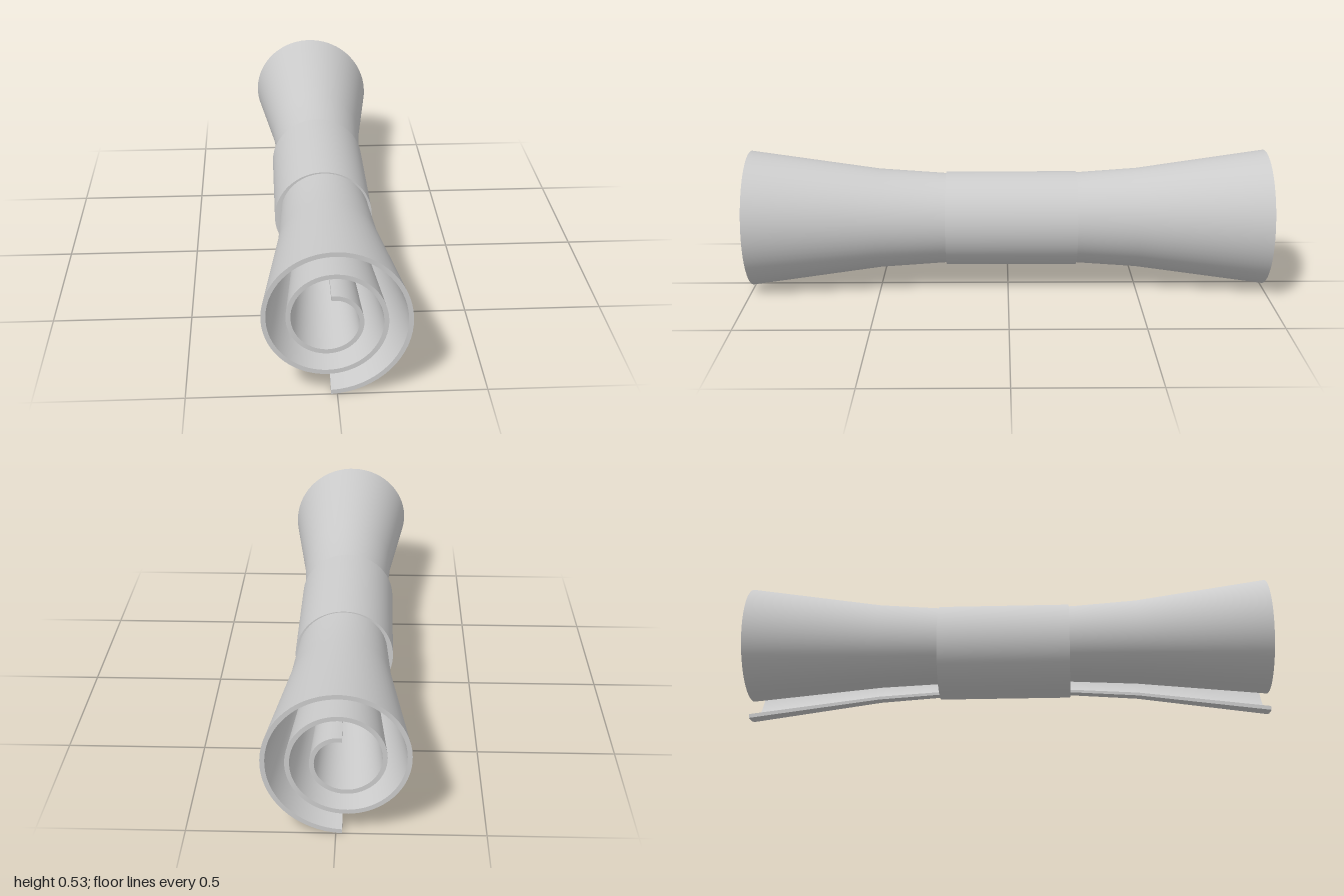
import * as THREE from 'three';

const TURNS = 2.5, STEPS = 160, THICK = 0.016, PITCH = 0.08;
const STATIONS = [-1, -0.5, -0.25, 0, 0.25, 0.5, 1];
const AXIS_Y = 0.27;

// Point on the rolled sheet: t = 0 (outer edge) to 1 (inner edge), depth = 0 outside, 1 inside
function sheetPoint(t, z, depth) {
  const angle = -Math.PI / 2 + t * TURNS * 2 * Math.PI;
  const r = 0.286 - PITCH * TURNS * t - THICK * depth;
  const flare = 0.648 + 0.352 * z * z;
  return [
    flare * (-0.021 + r * Math.cos(angle)),
    AXIS_Y + flare * (0.019 + r * Math.sin(angle)),
    z,
  ];
}

// Surface from a grid of points; it faces along du x dv
function grid(us, vs, point) {
  const positions = [], index = [], n = vs.length;
  us.forEach((u) => vs.forEach((v) => positions.push(...point(u, v))));
  for (let i = 0; i < us.length - 1; i++) {
    for (let j = 0; j < n - 1; j++) {
      const a = i * n + j, b = a + n;
      index.push(a, b, b + 1, a, b + 1, a + 1);
    }
  }
  const geometry = new THREE.BufferGeometry();
  geometry.setAttribute('position', new THREE.Float32BufferAttribute(positions, 3));
  geometry.setIndex(index);
  geometry.computeVertexNormals();
  return geometry;
}

export function createModel() {
  const model = new THREE.Group();
  model.name = 'tiedScroll';
  const material = new THREE.MeshStandardMaterial({ color: 0xcccccc });
  const add = (name, geometry, parent) => {
    const mesh = new THREE.Mesh(geometry, material);
    mesh.name = name;
    parent.add(mesh);
    return mesh;
  };

  // Rolled sheet, flared towards both ends
  const sheet = new THREE.Group();
  sheet.name = 'rolledSheet';
  model.add(sheet);
  const ts = Array.from({ length: STEPS + 1 }, (_, i) => i / STEPS);
  const depths = [0, 1];
  add('outerFace', grid(ts, STATIONS, (t, z) => sheetPoint(t, z, 0)), sheet);
  add('innerFace', grid(STATIONS, ts, (z, t) => sheetPoint(t, z, 1)), sheet);
  add('frontRim', grid(ts, depths, (t, d) => sheetPoint(t, 1, d)), sheet);
  add('backRim', grid(depths, ts, (d, t) => sheetPoint(t, -1, d)), sheet);
  add('outerEdge', grid(STATIONS, depths, (z, d) => sheetPoint(0, z, d)), sheet);
  add('innerEdge', grid(depths, STATIONS, (d, z) => sheetPoint(1, z, d)), sheet);

  // Solid band around the waist
  const bandGeometry = new THREE.CylinderGeometry(0.182, 0.182, 0.505, 96);
  bandGeometry.rotateX(Math.PI / 2);
  add('band', bandGeometry, model).position.set(-0.007, AXIS_Y, -0.013);

  return model;
}
